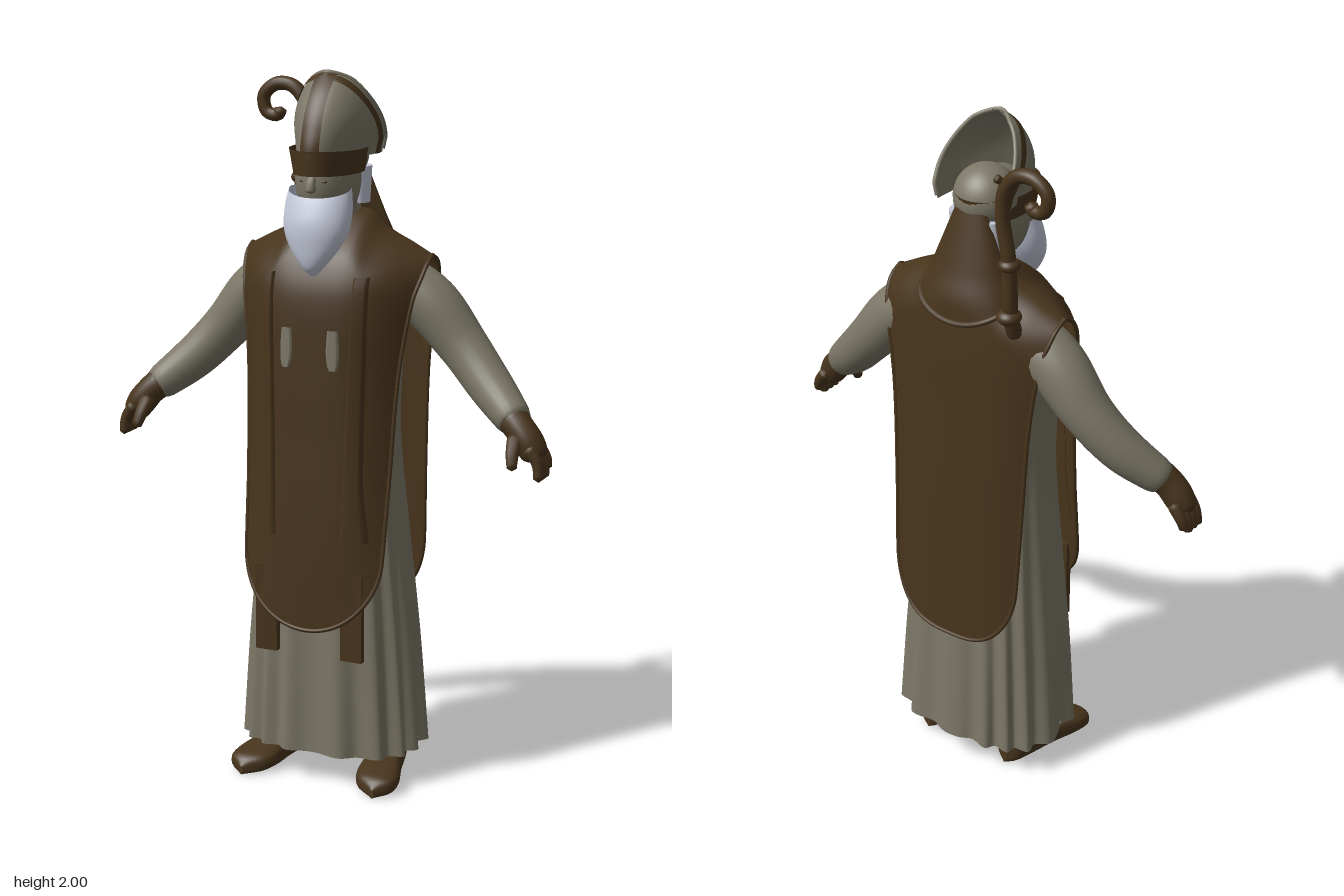
import * as THREE from 'three';

const mat = (name, color) => {
  const m = new THREE.MeshStandardMaterial({ color, side: THREE.DoubleSide });
  m.name = name;
  return m;
};

// Smooth lookup in a table of [key, value] pairs
function look(table, k) {
  const n = table.length - 1;
  if (k <= table[0][0]) return table[0][1];
  if (k >= table[n][0]) return table[n][1];
  let i = 0;
  while (k > table[i + 1][0]) i++;
  const slope = j => {
    const a = table[Math.max(j - 1, 0)], b = table[Math.min(j + 1, n)];
    return (b[1] - a[1]) / (b[0] - a[0]);
  };
  const [x0, y0] = table[i], [x1, y1] = table[i + 1], d = x1 - x0, t = (k - x0) / d;
  const t2 = t * t, t3 = t2 * t;
  return y0 * (2 * t3 - 3 * t2 + 1) + y1 * (3 * t2 - 2 * t3)
    + d * (slope(i) * (t3 - 2 * t2 + t) + slope(i + 1) * (t3 - t2));
}

// Smooth surface f(u, v) -> [x, y, z]; closed joins u = 1 to u = 0
function surface(nu, nv, f, closed = false) {
  const pos = [], idx = [], cols = closed ? nu : nu + 1;
  for (let j = 0; j <= nv; j++) for (let i = 0; i < cols; i++) pos.push(...f(i / nu, j / nv));
  for (let j = 0; j < nv; j++) for (let i = 0; i < nu; i++) {
    const a = j * cols + i, b = j * cols + (i + 1) % cols, c = a + cols, d = b + cols;
    idx.push(a, b, d, a, d, c);
  }
  const g = new THREE.BufferGeometry();
  g.setAttribute('position', new THREE.Float32BufferAttribute(pos, 3));
  g.setIndex(idx);
  g.computeVertexNormals();
  return g;
}

const curveOf = pts => new THREE.CatmullRomCurve3(pts.map(p => new THREE.Vector3(...p)));

// Tube of varying radius with rounded ends
function limb(pts, radii, n = 24, sides = 16) {
  const c = curveOf(pts), fr = c.computeFrenetFrames(n), len = c.getLength();
  const tab = radii.map((r, i) => [i / (radii.length - 1), r]);
  return surface(sides, n, (u, v) => {
    const a = u * Math.PI * 2, k = Math.round(v * n), base = look(tab, v);
    const e = Math.min(1, Math.min(v, 1 - v) * len / (base * 0.6));
    const r = base * Math.sqrt(Math.max(1 - (1 - e) ** 2, 0.0001));
    return c.getPointAt(v).addScaledVector(fr.normals[k], r * Math.cos(a))
      .addScaledVector(fr.binormals[k], r * Math.sin(a)).toArray();
  }, true);
}

const tube = (pts, r, n = 60) => new THREE.TubeGeometry(curveOf(pts), n, r, 10);
const spow = (v, p) => Math.sign(v) * Math.abs(v) ** p;
const mix = THREE.MathUtils.lerp;

export function createModel() {
  const brown = mat('brown cloth', 0x47341c), stone = mat('stone cloth', 0x7c7767);
  const white = mat('white hair', 0xc4c9d8);
  const root = new THREE.Group();
  const add = (name, geo, m, p = [0, 0, 0], s = [1, 1, 1], parent = root) => {
    const mesh = new THREE.Mesh(geo, m);
    mesh.name = name;
    mesh.position.set(...p);
    mesh.scale.set(...s);
    parent.add(mesh);
  };
  const ball = new THREE.SphereGeometry(1, 32, 20);

  // Pleated robe
  const robeX = [[0.09, 0.256], [0.4, 0.236], [0.7, 0.21], [1, 0.188], [1.3, 0.2], [1.45, 0.2], [1.53, 0.1]];
  const robeF = [[0.09, 0.17], [0.5, 0.163], [1, 0.135], [1.35, 0.125], [1.53, 0.04]];
  const robeB = [[0.09, -0.19], [0.5, -0.172], [0.8, -0.145], [1.1, -0.115], [1.4, -0.125], [1.53, -0.09]];
  add('robe', surface(200, 40, (u, v) => {
    const y = mix(1.53, 0.09, v), a = u * Math.PI * 2, f = look(robeF, y), b = look(robeB, y);
    const pleat = 1 + 0.055 * Math.max(0, 1 - y / 1.2) * Math.sin(a * 16 + 1.5 * Math.sin(a * 3));
    return [look(robeX, y) * spow(Math.cos(a), 0.75) * pleat,
      y, (f + b) / 2 + (f - b) / 2 * spow(Math.sin(a), 0.75) * pleat];
  }, true), stone);
  add('robeLining', new THREE.CylinderGeometry(0.16, 0.16, 0.01, 32), stone, [0, 0.1, -0.01], [1.56, 1, 1.08]);

  // Front and back panels of the outer vestment, joined on a shoulder ridge
  const width = [[0.46, 0.198], [0.7, 0.208], [0.9, 0.214], [1.2, 0.227], [1.4, 0.254], [1.48, 0.271], [1.63, 0.271]];
  const ridge = [[0, 1.63], [0.36, 1.615], [0.5, 1.575], [0.75, 1.54], [1, 1.505]];
  const panels = {
    front: { mid: [[0.46, 0.195], [0.75, 0.188], [1, 0.178], [1.2, 0.172], [1.4, 0.16], [1.5, 0.125], [1.62, 0.05]],
      edge: [[0.46, 0.172], [0.7, 0.14], [0.9, 0.112], [1.2, 0.08], [1.4, 0.05], [1.5, 0.02]], pow: 2 },
    back: { mid: [[0.46, -0.198], [0.9, -0.183], [1.2, -0.17], [1.45, -0.158], [1.55, -0.14], [1.62, -0.11]],
      edge: [[0.46, -0.175], [0.9, -0.148], [1.2, -0.134], [1.4, -0.125], [1.5, -0.115]], pow: 3 },
  };
  const panelZ = (p, u, y) => {
    const au = Math.min(Math.abs(u), 1);
    const s = THREE.MathUtils.clamp((y - look(ridge, au) + 0.13) / 0.13, 0, 1);
    return mix(mix(look(p.mid, y), look(p.edge, y), au ** 3), -0.04, 1 - Math.sqrt(1 - s * s));
  };
  for (const [name, p] of Object.entries(panels)) {
    const at = (u, t) => {
      const au = Math.min(Math.abs(u), 1);
      const low = 0.465 + 0.2 * (1 - Math.sqrt(1 - au ** p.pow));
      const y = mix(low, look(ridge, au), 1 - (1 - t) ** 1.5);
      return [u * look(width, y), y, panelZ(p, u, y)];
    };
    add(name + 'Vestment', surface(48, 60, (u, v) => at(Math.sin((u - 0.5) * Math.PI), v)), brown);
    const hem = [];
    for (let i = 12; i > 0; i--) hem.push(at(-1, i / 12));
    for (let i = 0; i <= 24; i++) hem.push(at(Math.sin((i / 24 - 0.5) * Math.PI), 0));
    for (let i = 1; i <= 12; i++) hem.push(at(1, i / 12));
    add(name + 'Hem', tube(hem, 0.006, 140), brown);
  }

  // Strips lying on the front panel
  const strip = (y0, y1, inner, outer, lift) => surface(8, 40, (u, v) => {
    const y = mix(y0, y1, v), x = mix(look(inner, y), look(outer, y), u);
    const up = u === 0 || u === 1 ? -0.004 : lift;
    return [x, y, panelZ(panels.front, x / look(width, y), y) + up];
  });
  for (const s of [1, -1]) {
    const side = s > 0 ? 'left' : 'right';
    add(side + 'Stole', strip(0.73, 1.46, [[0.73, 0.095], [0.9, 0.1], [1.4, 0.115]],
      [[0.73, 0.178], [0.9, 0.158], [1.4, 0.16]], 0.009), brown, [0, 0, 0], [s, 1, 1]);
    add(side + 'ChestPatch', strip(1.205, 1.315, [[1.2, 0.062], [1.22, 0.052], [1.26, 0.048], [1.32, 0.052]],
      [[1.2, 0.08], [1.22, 0.088], [1.26, 0.09], [1.32, 0.086]], 0.005), stone, [0, 0, 0], [s, 1, 1]);
    add(side + 'StoleEnd', new THREE.BoxGeometry(0.065, 0.25, 0.02), brown, [0.13 * s, 0.51, 0.17]);
  }

  // Arms, gloves and shoes, mirrored
  for (const s of [1, -1]) {
    const g = new THREE.Group();
    g.name = s > 0 ? 'leftLimbs' : 'rightLimbs';
    g.scale.x = s;
    root.add(g);
    const put = (name, geo, m, p, sc) => add(name, geo, m, p, sc, g);
    put('sleeve', limb([[0.17, 1.42, -0.05], [0.26, 1.37, -0.055], [0.36, 1.26, -0.054], [0.45, 1.165, -0.025],
      [0.56, 1.07, 0.035]], [0.085, 0.079, 0.068, 0.061, 0.047], 30, 24), stone);
    put('glove', limb([[0.525, 1.1, 0.022], [0.565, 1.065, 0.04], [0.6, 1.02, 0.046], [0.617, 0.985, 0.046]],
      [0.046, 0.042, 0.042, 0.034]), brown);
    for (let i = 0; i < 4; i++) {
      const z = 0.008 + i * 0.023, drop = i === 0 ? 0.02 : 0;
      put('finger', limb([[0.597, 1.03, z], [0.628, 0.985, z], [0.634, 0.936 + drop, z + 0.006]],
        [0.018, 0.016, 0.013], 12, 10), brown);
    }
    put('thumb', limb([[0.56, 1.05, 0.06], [0.565, 1.01, 0.1], [0.572, 0.97, 0.122]], [0.025, 0.019, 0.013], 12, 10), brown);
    const half = [[-0.12, 0.005], [-0.105, 0.035], [-0.06, 0.046], [0.03, 0.053], [0.12, 0.064], [0.17, 0.052], [0.2, 0.004]];
    const high = [[-0.12, 0.05], [-0.1, 0.088], [0, 0.088], [0.07, 0.075], [0.14, 0.06], [0.18, 0.048], [0.2, 0.025]];
    put('shoe', surface(24, 30, (u, v) => {
      const z = 0.04 - 0.16 * Math.cos(v * Math.PI), a = u * Math.PI * 2, h = look(high, z);
      return [0.165 + 0.2 * z + look(half, z) * spow(Math.cos(a), 0.8), h * (0.5 + 0.5 * spow(Math.sin(a), 0.7)), z];
    }, true), brown);
    put('ankle', new THREE.CylinderGeometry(0.045, 0.045, 0.06, 20), brown, [0.16, 0.08, -0.055]);
  }

  // Head, face, hair and beard
  add('neck', new THREE.CylinderGeometry(0.06, 0.07, 0.2, 24), stone, [0, 1.6, -0.02]);
  add('face', ball, stone, [0, 1.71, 0.042], [0.086, 0.13, 0.108]);
  add('skullCap', ball, stone, [0, 1.775, -0.015], [0.088, 0.09, 0.088]);
  add('nose', limb([[0, 1.735, 0.138], [0, 1.705, 0.153], [0, 1.68, 0.156]], [0.01, 0.013, 0.015], 12, 10), stone);
  for (const s of [1, -1]) {
    add('eye', ball, brown, [0.03 * s, 1.712, 0.139], [0.011, 0.004, 0.005]);
    add('sideHair', new THREE.CylinderGeometry(0.04, 0.032, 0.1, 24), white, [0.062 * s, 1.687, -0.045], [0.6, 1, 1]);
  }
  const beardW = [[1.45, 0.002], [1.475, 0.027], [1.53, 0.07], [1.58, 0.093], [1.64, 0.097], [1.69, 0.09]];
  const beardF = [[1.45, 0.14], [1.48, 0.168], [1.55, 0.18], [1.6, 0.178], [1.65, 0.162], [1.69, 0.144]];
  const beardB = [[1.45, 0.137], [1.5, 0.105], [1.6, 0.05], [1.69, 0.04]];
  add('beard', surface(32, 26, (u, v) => {
    const a = u * Math.PI * 2, c = Math.cos(a);
    const y = mix(1.69 - 0.022 * Math.max(0, Math.sin(a)), 1.45, v);
    const f = look(beardF, y), b = look(beardB, y);
    return [look(beardW, y) * c, y, (f + b) / 2 + (f - b) / 2 * Math.sin(a)];
  }, true), white);

  // Tall hat: a dome cut away by a plane sloping down to the back
  const hatX = [[1.72, 0.088], [1.78, 0.1], [1.85, 0.114], [1.9, 0.106], [1.95, 0.08], [1.98, 0.05], [2, 0.003]];
  const hatF = [[1.72, 0.165], [1.79, 0.168], [1.85, 0.152], [1.9, 0.13], [1.95, 0.096], [2, 0.045]];
  const hatCut = y => Math.max(0.035 - (2 - y) * 0.7, -0.096);
  const hat = (a, y, off = 0) => {
    const cut = hatCut(y);
    return [(look(hatX, y) + off) * Math.sin(a), y, cut + (look(hatF, y) + off - cut) * Math.cos(a)];
  };
  add('hat', surface(40, 30, (u, v) => hat((u - 0.5) * Math.PI, mix(1.77, 1.998, v))), stone);
  add('hatStripe', surface(6, 30, (u, v) => {
    const y = mix(1.77, 1.996, v), x = (u - 0.5) * 0.054;
    return hat(Math.asin(THREE.MathUtils.clamp(x / (look(hatX, y) + 0.001), -1, 1)), y, 0.004);
  }), brown);
  // Side stripes run parallel to the sloping cut
  for (const s of [1, -1]) add('hatSideStripe', surface(6, 30, (u, v) => {
    const y = mix(1.77, 1.985, v), d = mix(0.022, 0.05, u) / (look(hatF, y) - hatCut(y));
    return hat(s * Math.acos(Math.min(d, 1)), y, 0.004);
  }), brown);
  const rim = [];
  for (let i = -12; i <= 12; i++) rim.push(hat(Math.sign(i) * Math.PI / 2, 1.995 - 0.215 * Math.abs(i) / 12));
  add('hatRim', tube(rim, 0.006, 80), stone);
  add('hatBand', surface(48, 4, (u, v) => {
    const a = u * Math.PI * 2, r = 0.088 + 0.014 * v;
    return [r * Math.cos(a), 1.727 + 0.067 * v, 0.035 + (0.133 + 0.005 * v) * Math.sin(a)];
  }, true), brown);

  // Hood hanging down the back
  const hoodW = [[1.47, 0.145], [1.55, 0.138], [1.62, 0.108], [1.76, 0.05]];
  const hoodZ = [[1.47, -0.178], [1.53, -0.172], [1.6, -0.148], [1.76, -0.1]];
  const hoodD = [[1.47, 0.04], [1.55, 0.085], [1.63, 0.06], [1.76, 0.02]];
  const hood = (a, t) => {
    const y = mix(1.76, 1.47 + 0.05 * Math.sin(a) ** 2, t);
    return [look(hoodW, y) * Math.sin(a), y, look(hoodZ, y) + look(hoodD, y) * (1 - Math.cos(a))];
  };
  add('hood', surface(28, 20, (u, v) => hood((u - 0.5) * Math.PI, v)), brown);
  const hoodEdge = [];
  for (let i = 0; i <= 16; i++) hoodEdge.push(hood((i / 16 - 0.5) * Math.PI, 1));
  add('hoodEdge', tube(hoodEdge, 0.008), brown);

  // Crook staff carried on the back
  add('crookStaff', limb([[-0.175, 1.46, -0.125], [-0.175, 1.53, -0.148], [-0.175, 1.61, -0.152], [-0.17, 1.7, -0.152],
    [-0.15, 1.81, -0.15], [-0.16, 1.89, -0.15], [-0.2, 1.935, -0.15], [-0.25, 1.938, -0.15], [-0.288, 1.905, -0.15],
    [-0.28, 1.86, -0.15], [-0.245, 1.852, -0.15], [-0.235, 1.875, -0.15]],
  [0.022, 0.021, 0.02, 0.02, 0.02, 0.019, 0.018], 90, 14), brown);
  for (const [y, r] of [[1.53, 0.034], [1.68, 0.03]])
    add('staffKnob', ball, brown, [-0.173, y, -0.152], [r, r * 0.65, r]);
  add('crookBud', limb([[-0.165, 1.895, -0.15], [-0.15, 1.91, -0.158], [-0.138, 1.922, -0.168]],
    [0.006, 0.009, 0.014], 12, 10), brown);

  return root;
}
